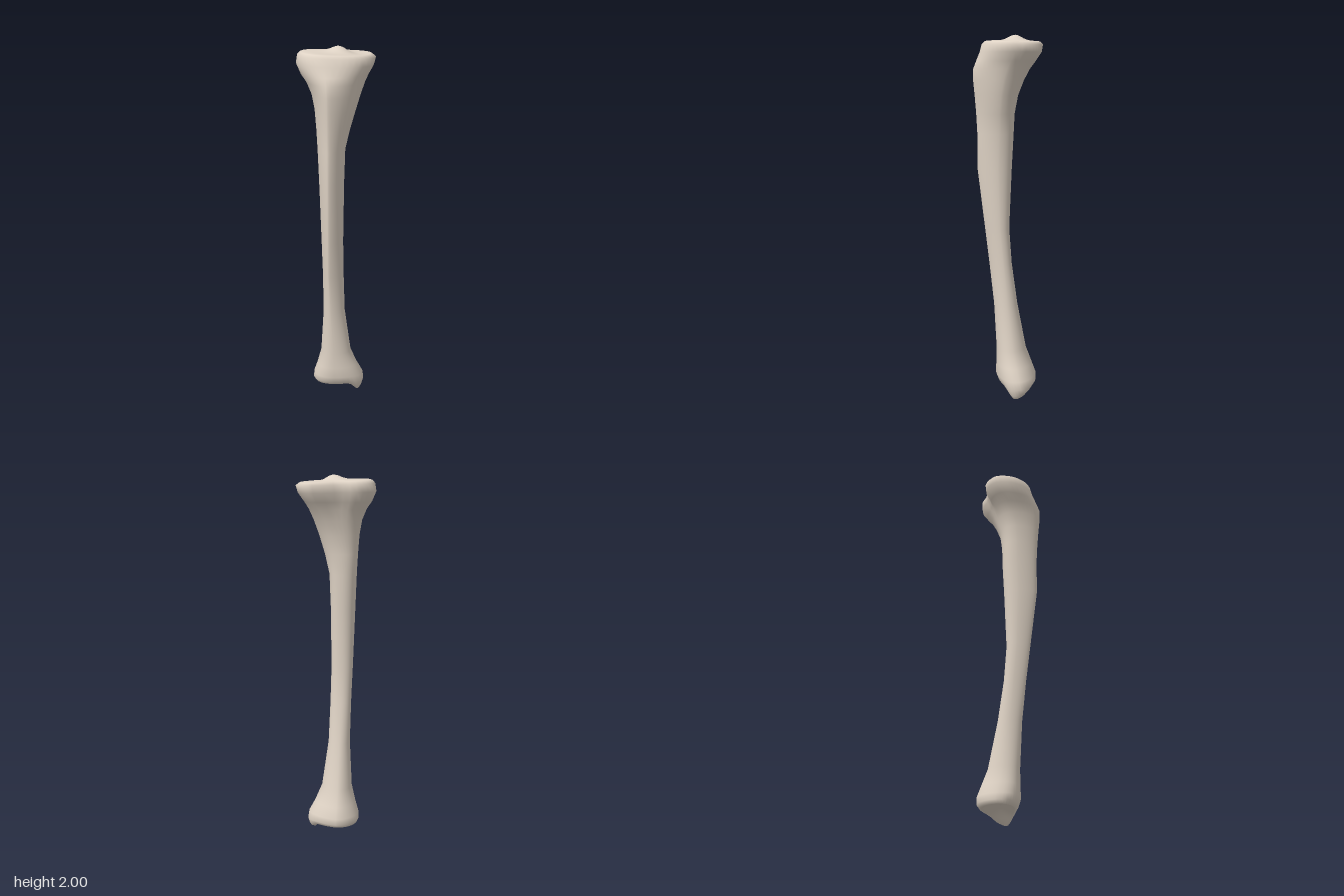
import * as THREE from 'three';

const SEG = 40;

// Extents of the cross-sections from top to bottom: y, xRight, xLeft, zBack, zFront
const ROWS = [
  [1.965, -0.19, 0.19, -0.16, 0.11],
  [1.95, -0.204, 0.21, -0.175, 0.128],
  [1.91, -0.21, 0.2, -0.17, 0.138],
  [1.86, -0.185, 0.172, -0.14, 0.16],
  [1.82, -0.155, 0.152, -0.112, 0.175],
  [1.76, -0.128, 0.13, -0.084, 0.176],
  [1.68, -0.112, 0.105, -0.058, 0.168],
  [1.58, -0.104, 0.076, -0.045, 0.16],
  [1.47, -0.098, 0.05, -0.042, 0.154],
  [1.28, -0.09, 0.044, -0.032, 0.154],
  [0.95, -0.079, 0.04, -0.018, 0.114],
  [0.75, -0.073, 0.043, -0.032, 0.09],
  [0.52, -0.07, 0.05, -0.064, 0.066],
  [0.26, -0.085, 0.085, -0.114, 0.053],
  [0.17, -0.108, 0.122, -0.148, 0.055],
  [0.11, -0.127, 0.156, -0.17, 0.056],
  [0.075, -0.13, 0.162, -0.17, 0.044],
  [0.055, -0.12, 0.152, -0.155, 0.028],
];

const { lerp, smoothstep } = THREE.MathUtils;
const bump = (x, z, cx, cz, rx, rz) => Math.exp(-(((x - cx) / rx) ** 2) - ((z - cz) / rz) ** 2);

// Knee surface: slight tilt, a central ridge and two uneven sides
const plateauY = (x, z) => 1.968 - 0.03 * x
  + 0.032 * bump(x, z, 0.015, -0.045, 0.055, 0.05)
  - 0.010 * bump(x, z, 0.11, -0.05, 0.06, 0.08)
  + 0.006 * bump(x, z, -0.11, -0.03, 0.06, 0.08);

// Ankle surface: shallow hollow beside the inner ankle knob
const malleolus = (x, z) => bump(x, z, 0.128, -0.03, 0.036, 0.065);
const ankleY = (x, z) => 0.052 + 0.025 * bump(x, z, -0.01, -0.05, 0.08, 0.06) - 0.054 * malleolus(x, z);

// Closed outline of a cross-section as [x, z] pairs:
// rounded at both ends of the bone, with a sharper front crest along the shaft
function outline([y, xR, xL, zB, zF]) {
  const knee = smoothstep(y, 1.8, 1.95);
  const ankle = 1 - smoothstep(y, 0.15, 0.8);
  const zMid = lerp(zB, zF, lerp(0.41, 0.55, ankle));
  const frontCrest = -0.04 + 0.02 * knee + 0.03 * ankle;
  const backCrest = -0.02 + 0.12 * smoothstep(y, 1.5, 1.95);
  const frontPower = 1.6 + 0.7 * knee + 0.6 * ankle;
  const backPower = 2.2 - 0.4 * ankle;
  const notch = 0.04 * smoothstep(y, 1.75, 1.92);
  return Array.from({ length: SEG }, (_, j) => {
    const t = (j / SEG) * Math.PI * 2;
    const s = Math.sin(t), c = Math.cos(t);
    const front = c >= 0;
    const e = 2 / (front ? frontPower : backPower);
    const apex = front ? frontCrest : backCrest;
    const x = apex + ((s >= 0 ? xL : xR) - apex) * Math.abs(s) ** e;
    let z = zMid + ((front ? zF : zB) - zMid) * Math.abs(c) ** e;
    if (!front) z -= notch * c * Math.exp(-(((x + 0.04) / 0.06) ** 2));
    return [x, z];
  });
}

// Shrinks an outline towards a point and lays it on a height function
const capRing = (ring, scale, cx, cz, height) => ring.map(([x, z]) => {
  const px = lerp(cx, x, scale), pz = lerp(cz, z, scale);
  return [px, height(px, pz), pz];
});

function boneGeometry() {
  // Knee cap, from the middle outwards
  const kneeRim = outline(ROWS[0]);
  const kneeCap = [0, 0.12, 0.25, 0.4, 0.6, 0.8, 0.94]
    .map((s) => capRing(kneeRim, s, 0.015, -0.045, plateauY));

  // Shaft and both flared ends, tilted at the knee and drawn down at the ankle knob
  const shaft = ROWS.map((row) => {
    const y = row[0];
    const tilt = 0.03 * smoothstep(y, 1.86, 1.95);
    const drop = 0.045 * (1 - smoothstep(y, 0.04, 0.14));
    return outline(row).map(([x, z]) => [x, y - tilt * x - drop * malleolus(x, z), z]);
  });

  // Ankle cap, from the rim inwards
  const ankleRim = outline(ROWS[ROWS.length - 1]);
  const ankleCap = [0.92, 0.8, 0.65, 0.45, 0.22, 0]
    .map((s) => capRing(ankleRim, s, 0, -0.05, ankleY));

  // Join neighbouring rings; the first and last are single points
  const rings = [...kneeCap, ...shaft, ...ankleCap];
  const index = [];
  for (let i = 0; i < rings.length - 1; i++) {
    for (let j = 0; j < SEG; j++) {
      const a = i * SEG + j, b = i * SEG + ((j + 1) % SEG);
      const c = a + SEG, d = b + SEG;
      if (i < rings.length - 2) index.push(a, c, d);
      if (i > 0) index.push(a, d, b);
    }
  }
  const geometry = new THREE.BufferGeometry();
  geometry.setAttribute('position', new THREE.Float32BufferAttribute(rings.flat(2), 3));
  geometry.setIndex(index);
  geometry.computeVertexNormals();
  return geometry;
}

export function createModel() {
  const group = new THREE.Group();
  group.name = 'shinBone';
  const bone = new THREE.Mesh(boneGeometry(), new THREE.MeshStandardMaterial({ color: 0xdfd3c5 }));
  bone.name = 'bone';
  group.add(bone);
  return group;
}
